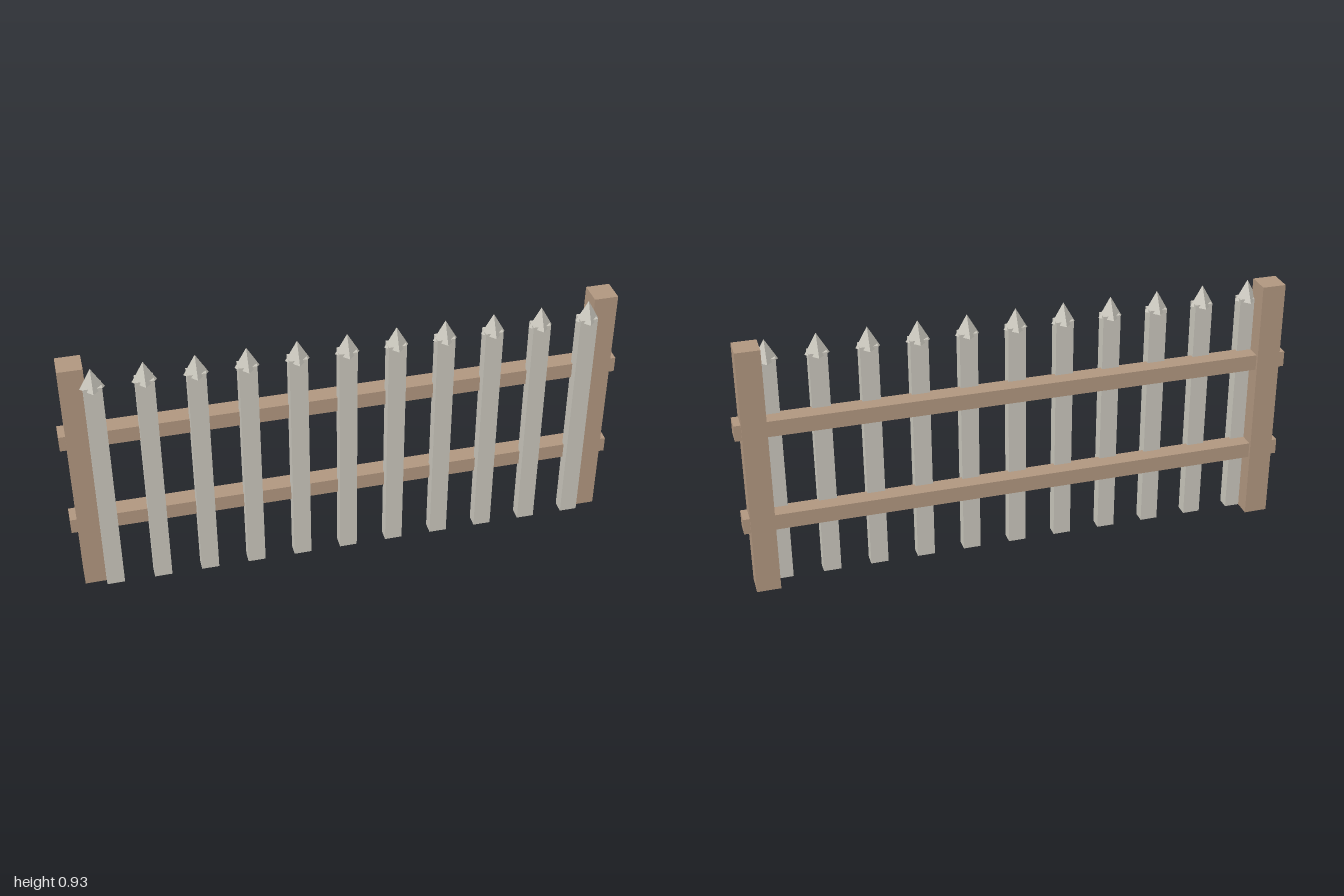
import * as THREE from 'three';

export function createModel() {
  const group = new THREE.Group();
  group.name = 'picketFence';

  const wood = new THREE.MeshStandardMaterial({ color: 0xb0967f, flatShading: true });
  wood.name = 'brownWood';
  const paint = new THREE.MeshStandardMaterial({ color: 0xc8c5bb, flatShading: true });
  paint.name = 'paleGreyWood';

  const add = (name, geometry, material, x, y, z, parent = group) => {
    const mesh = new THREE.Mesh(geometry, material);
    mesh.name = name;
    mesh.position.set(x, y, z);
    parent.add(mesh);
    return mesh;
  };

  // End posts
  const postHeight = 0.933;
  const postGeometry = new THREE.BoxGeometry(0.086, postHeight, 0.087);
  add('leftPost', postGeometry, wood, 0.933, postHeight / 2, -0.0215);
  add('rightPost', postGeometry, wood, -0.933, postHeight / 2, -0.0215);

  // Rails running through both posts
  const railGeometry = new THREE.BoxGeometry(2, 0.058, 0.067);
  add('lowerRail', railGeometry, wood, 0, 0.268, -0.0215);
  add('upperRail', railGeometry, wood, 0, 0.634, -0.0215);

  // Evenly spaced pickets, each a slat with a four-sided point
  const count = 11;
  const spacing = 0.1735;
  const slatHeight = 0.866;
  const slatGeometry = new THREE.BoxGeometry(0.064, slatHeight, 0.046);
  const pointHeight = 0.076;
  const pointGeometry = new THREE.ConeGeometry(0.043, pointHeight, 4);
  for (let i = 0; i < count; i++) {
    const picket = new THREE.Group();
    picket.name = `picket${i + 1}`;
    picket.position.set((i - (count - 1) / 2) * spacing, 0, 0.0215);
    add('slat', slatGeometry, paint, 0, slatHeight / 2, 0, picket);
    add('point', pointGeometry, paint, 0, 0.855 + pointHeight / 2, 0, picket);
    group.add(picket);
  }

  return group;
}
